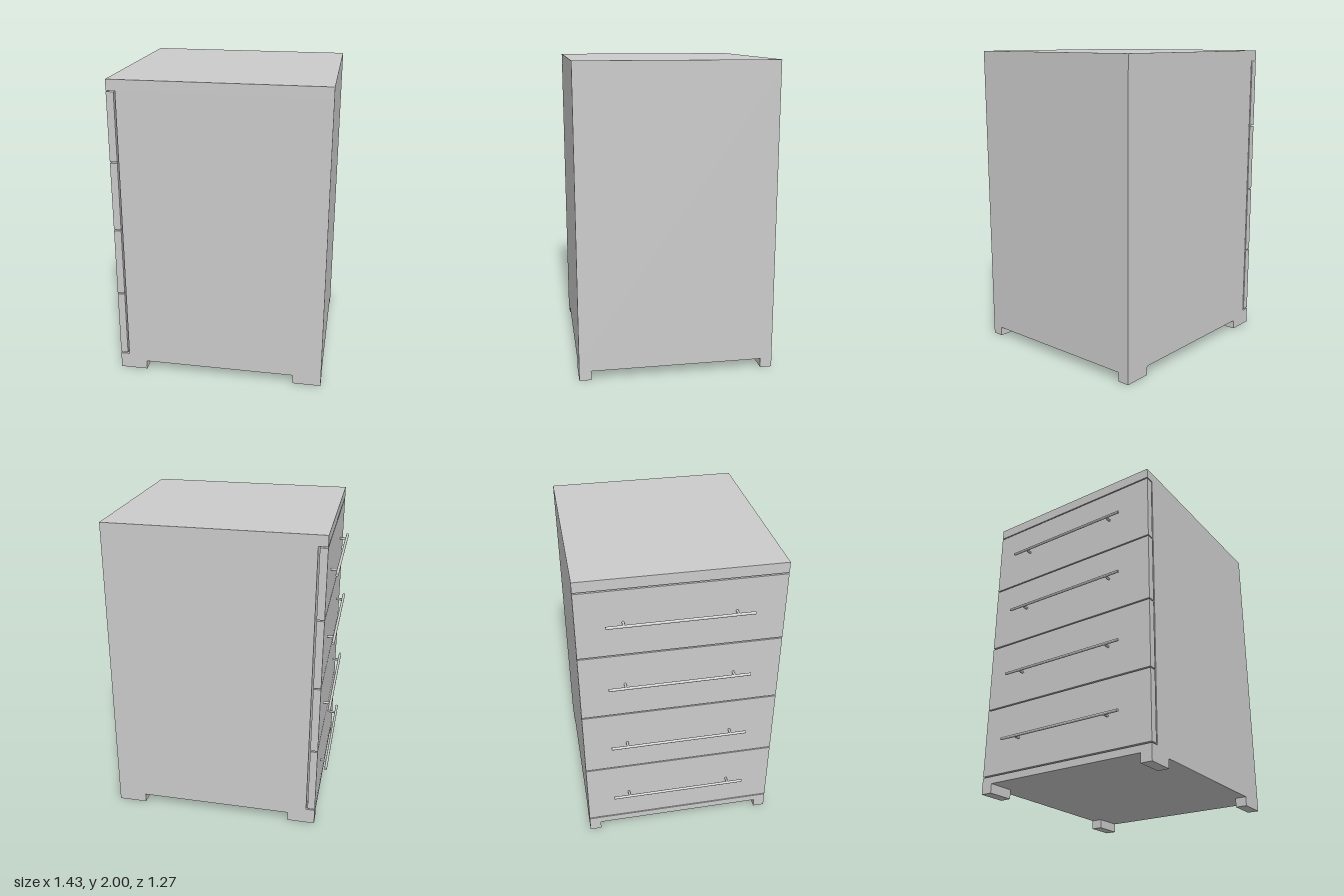
import * as THREE from 'three';

export function createModel() {
  const cabinet = new THREE.Group();
  cabinet.name = 'drawerCabinet';
  const material = new THREE.MeshStandardMaterial({ color: 0xcccccc });

  const add = (name, geometry, parent = cabinet) => {
    const mesh = new THREE.Mesh(geometry, material);
    mesh.name = name;
    parent.add(mesh);
    return mesh;
  };

  // Box given by its lower and upper limits on each axis
  const box = (name, [x0, x1], [y0, y1], [z0, z1], parent) => {
    const mesh = add(name, new THREE.BoxGeometry(x1 - x0, y1 - y0, z1 - z0), parent);
    mesh.position.set((x0 + x1) / 2, (y0 + y1) / 2, (z0 + z1) / 2);
    return mesh;
  };

  const back = 0.712, front = -0.66, side = 0.633;

  // Carcass between a base board and a worktop
  box('baseBoard', [front, back], [0.06, 0.106], [-side, side]);
  box('body', [-0.602, back], [0.106, 1.932], [-side, side]);
  box('worktop', [front, back], [1.932, 2], [-side, side]);

  // Four block feet
  for (const x of [[front, -0.48], [0.525, back]]) {
    for (const z of [[-side, -0.557], [0.557, side]]) {
      box('foot', x, [0, 0.06], z);
    }
  }

  // Drawers open towards -x, each with a bar handle on two posts
  const limits = [0.11, 0.565, 1.02, 1.477, 1.928];
  const handleHeights = [0.325, 0.776, 1.256, 1.708];
  handleHeights.forEach((y, i) => {
    const drawer = new THREE.Group();
    drawer.name = 'drawer' + (i + 1);
    cabinet.add(drawer);
    box('drawerFront', [front, -0.612], [limits[i] + 0.004, limits[i + 1] - 0.004], [-side, side], drawer);

    const bar = add('handleBar', new THREE.CylinderGeometry(0.009, 0.009, 0.893, 16), drawer);
    bar.rotation.x = Math.PI / 2;
    bar.position.set(-0.705, y, -0.012);

    for (const z of [-0.351, 0.332]) {
      const post = add('handlePost', new THREE.CylinderGeometry(0.008, 0.008, 0.045, 12), drawer);
      post.rotation.z = Math.PI / 2;
      post.position.set(-0.68, y, z);
    }
  });

  return cabinet;
}
